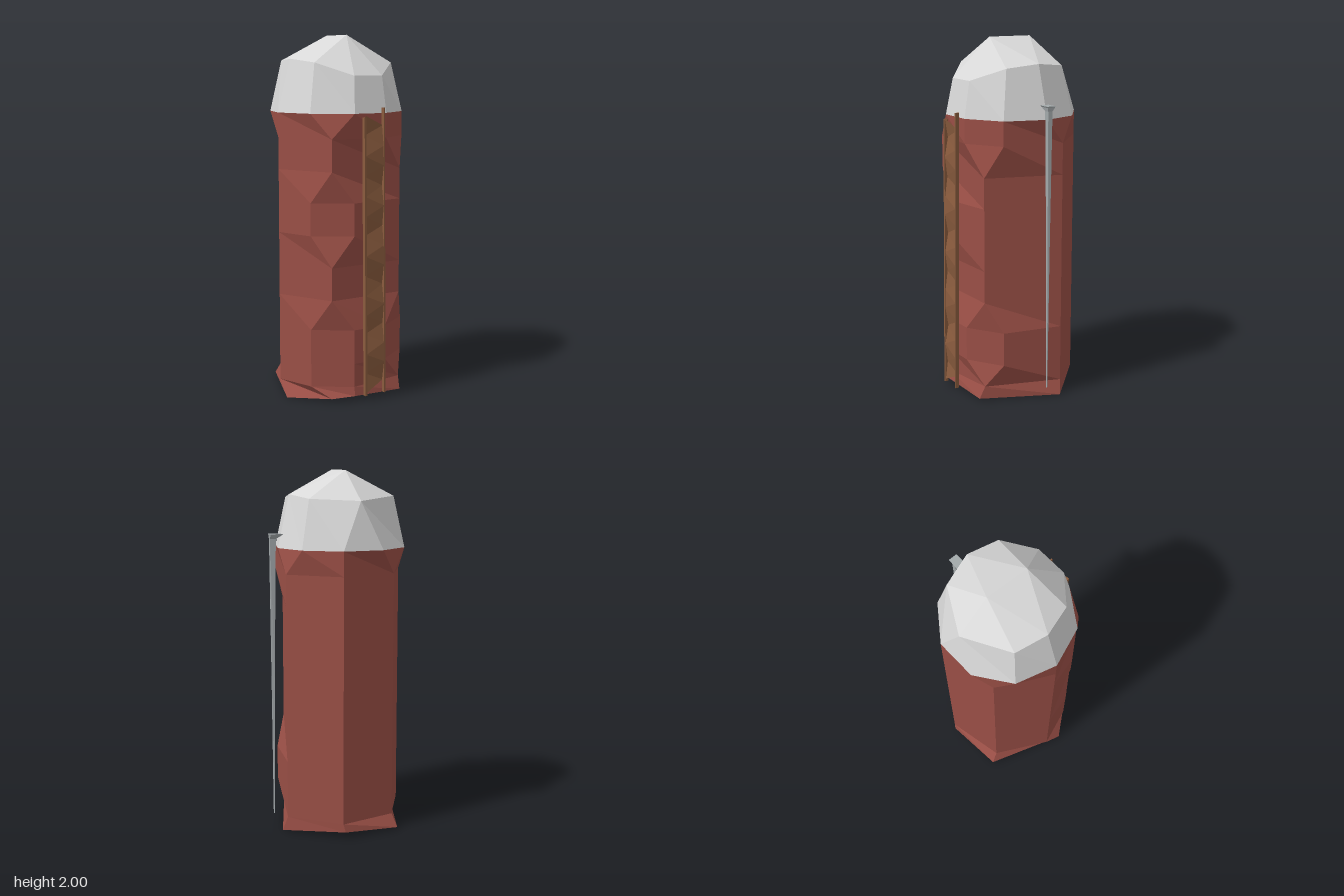
import * as THREE from 'three';

const paint = (name, color) => {
  const m = new THREE.MeshStandardMaterial({ color });
  m.name = name;
  m.flatShading = true;
  return m;
};

// Faceted mesh from triangles given as triples of [x, y, z] points
function facets(name, tris, material) {
  const g = new THREE.BufferGeometry();
  g.setAttribute('position', new THREE.Float32BufferAttribute(tris.flat(2), 3));
  g.computeVertexNormals();
  const mesh = new THREE.Mesh(g, material);
  mesh.name = name;
  return mesh;
}

// Skin over stacked rings; each ring runs back, right, front, left
function loft(rings, capBottom = false, capTop = false) {
  const tris = [];
  const n = rings[0].length;
  const add = (...t) => {
    const [a, b, c] = t.map(p => new THREE.Vector3(...p));
    if (b.sub(a).cross(c.sub(a)).length() > 1e-7) tris.push(t);
  };
  for (let r = 0; r + 1 < rings.length; r++) {
    const lo = rings[r], up = rings[r + 1];
    for (let i = 0; i < n; i++) {
      const j = (i + 1) % n;
      add(lo[i], up[j], lo[j]);
      add(lo[i], up[i], up[j]);
    }
  }
  const middle = ring => [0, 1, 2].map(k => ring.reduce((s, p) => s + p[k], 0) / n);
  const first = rings[0], last = rings[rings.length - 1];
  for (let i = 0; i < n; i++) {
    const j = (i + 1) % n;
    if (capBottom) add(middle(first), first[i], first[j]);
    if (capTop) add(middle(last), last[j], last[i]);
  }
  return tris;
}

// Ten-sided outline of the tower, as [x, z]
const outline = [[-0.12, -0.38], [0.11, -0.377], [0.29, -0.235], [0.35, -0.03], [0.28, 0.2],
  [0.085, 0.325], [-0.12, 0.325], [-0.315, 0.19], [-0.385, -0.03], [-0.31, -0.25]];

// Corner pairs that merge into one chamferless corner at some heights
const corners = {
  right: { pair: [2, 3], merged: [0.345, -0.137] },
  frontRight: { pair: [4, 5], merged: [0.21, 0.28] },
  frontLeft: { pair: [6, 7], merged: [-0.24, 0.285] },
  backLeft: { pair: [9, 0], merged: [-0.215, -0.315] },
};

function towerRing(y, wide) {
  const ring = outline.map(([x, z]) => [x, y, z]);
  for (const [key, { pair, merged }] of Object.entries(corners)) {
    if (!wide.includes(key)) for (const i of pair) ring[i] = [merged[0], y, merged[1]];
  }
  return ring;
}

function tower(material) {
  // Flared foot
  const foot = [[-0.23, 0.01, -0.36], [0.1, 0.035, -0.385], [0.37, 0, -0.12], [0.37, 0, -0.12],
    [0.2, 0.01, 0.31], [0.2, 0.01, 0.31], [-0.12, 0.03, 0.335], [-0.24, 0.02, 0.285],
    [-0.4, 0, 0.07], [-0.23, 0.01, -0.36]];
  const rings = [
    foot,
    towerRing(0.08, ['frontLeft']),
    towerRing(0.21, ['frontLeft', 'frontRight']),
    towerRing(0.4, ['frontLeft', 'frontRight']),
    towerRing(0.57, []),
    towerRing(0.75, []),
    towerRing(0.92, ['frontLeft']),
    towerRing(1.1, ['frontLeft']),
    towerRing(1.27, []),
    towerRing(1.445, ['frontRight']),
    towerRing(1.58, Object.keys(corners)),
  ];
  return facets('tower', loft(rings, true), material);
}

function dome(material) {
  const back = [-0.005, 1.84, -0.34];
  const shoulder = [back, back, [0.235, 1.85, -0.2], [0.28, 1.87, -0.02], [0.235, 1.85, 0.155],
    [0.08, 1.78, 0.29], [-0.1, 1.78, 0.29], [-0.26, 1.85, 0.145], [-0.307, 1.87, -0.03], [-0.26, 1.86, -0.21]];
  // Short ridge at the top
  const ridgeBack = [0, 2, -0.145], ridgeFront = [-0.025, 2, 0.1];
  const ridge = shoulder.map((p, i) => (i >= 4 && i <= 8 ? ridgeFront : ridgeBack));
  return facets('dome', loft([towerRing(1.58, Object.keys(corners)), shoulder, ridge]), material);
}

function ladder(material) {
  const group = new THREE.Group();
  group.name = 'ladder';
  // The ladder leans slightly towards the tower
  const lean = y => 0.37 - 0.02 * (y / 1.6);
  const rail = (name, x, top, w) => {
    const ring = y => [[-w, -0.011], [w, -0.011], [w, 0.011], [-w, 0.011]]
      .map(([dx, dz]) => [x + dx, y, lean(y) + dz]);
    group.add(facets(name, loft([ring(0.035), ring(top)], true, true), material));
  };
  rail('leftRail', 0.047, 1.61, 0.004);
  rail('rightRail', -0.076, 1.56, 0.006);

  // Folded zigzag of rungs
  const rungs = [], steps = 28, pts = [];
  for (let i = 0; i <= steps; i++) {
    const y = 0.05 + (1.52 * i) / steps;
    const depth = [0.008, -0.01, -0.006, 0.01, 0.009][i % 5];
    pts.push([i % 2 ? 0.046 : -0.074, y, lean(y) + depth]);
  }
  for (let i = 0; i + 2 < pts.length; i++) {
    rungs.push(i % 2 ? [pts[i], pts[i + 2], pts[i + 1]] : [pts[i], pts[i + 1], pts[i + 2]]);
  }
  group.add(facets('rungs', rungs, material));
  return group;
}

function pipe(material) {
  // Tapering pipe with a flared lip
  const ring = (y, x0, x1, z0, z1) => [[x0, y, z0], [x1, y, z0 + 0.005], [x1 - 0.003, y, z1], [x0, y, z1]];
  const rings = [
    ring(0.07, 0.382, 0.387, -0.024, -0.017),
    ring(0.85, 0.376, 0.392, -0.029, -0.012),
    ring(1.63, 0.364, 0.396, -0.036, -0.006),
    ring(1.65, 0.335, 0.398, -0.05, -0.002),
    ring(1.657, 0.328, 0.4, -0.052, 0.003),
  ];
  return facets('pipe', loft(rings, true, true), material);
}

export function createModel() {
  const red = paint('brick red', 0x9a4f46);
  const white = paint('pale grey', 0xd8d8d8);
  const brown = paint('ladder brown', 0x8a5c3e);
  brown.side = THREE.DoubleSide;
  const grey = paint('pipe grey', 0xa3a9ab);

  const model = new THREE.Group();
  model.name = 'silo';
  model.add(tower(red), dome(white), ladder(brown), pipe(grey));
  return model;
}
